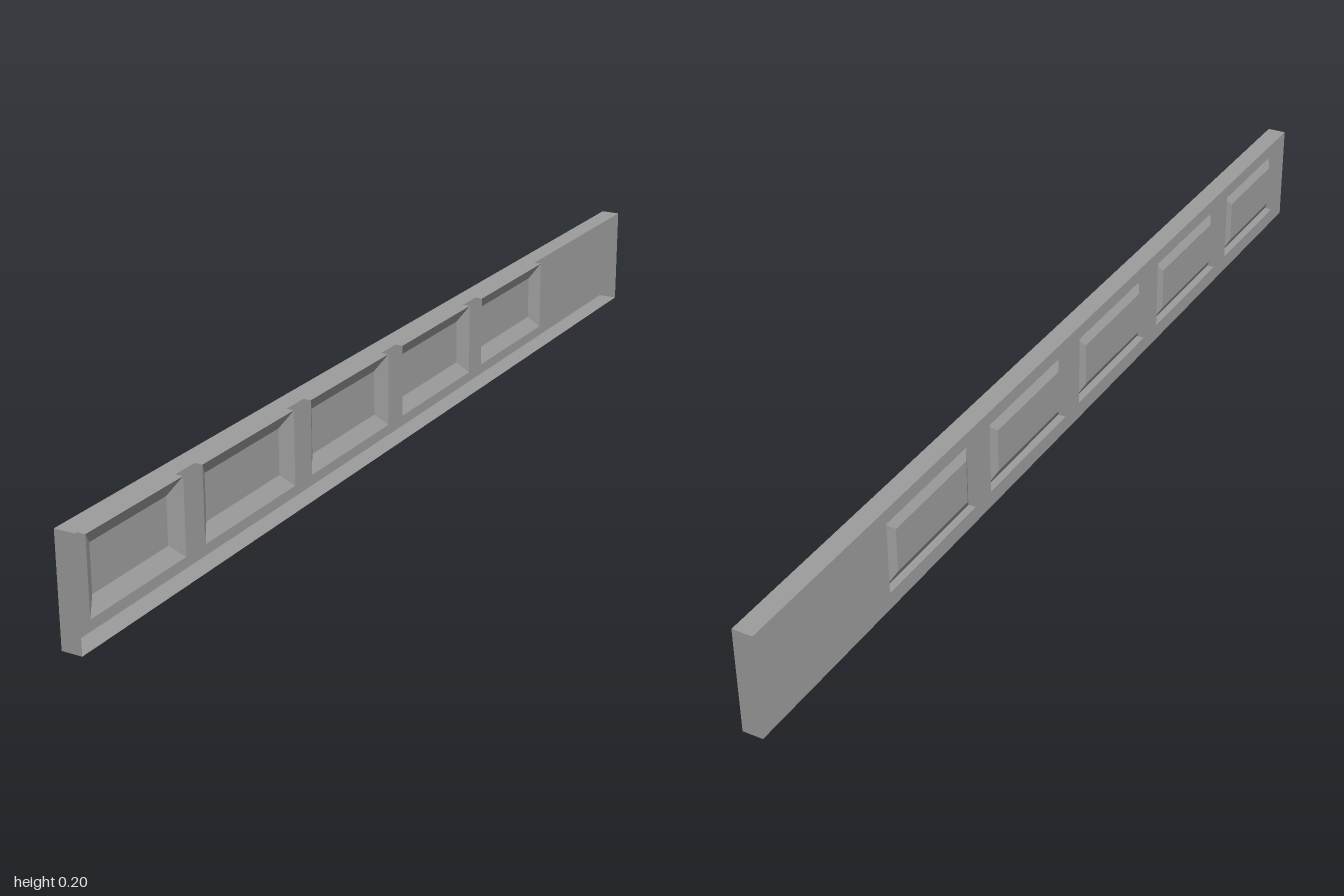
import * as THREE from 'three';

const X = 0.019;         // half thickness
const H = 0.199;         // height
const STEP = 0.015;      // depth of the groove around each panel
const BEVEL = 0.027;     // width of the sloped panel border

const material = new THREE.MeshStandardMaterial({
  color: 0x9d9d9d, flatShading: true, side: THREE.DoubleSide,
});

// Rectangle in the plane at x, anticlockwise when seen from -x
function ring(x, z0, z1, y0, y1) {
  return [[x, y0, z0], [x, y0, z1], [x, y1, z1], [x, y1, z0]];
}

// Joins successive rectangles with flat sides, optionally closing the last one
function loft(rings, capped) {
  const points = [];
  const quad = (a, b, c, d) => points.push(...a, ...b, ...c, ...a, ...c, ...d);
  for (let r = 0; r + 1 < rings.length; r++) {
    for (let i = 0; i < 4; i++) {
      const j = (i + 1) % 4;
      quad(rings[r][i], rings[r][j], rings[r + 1][j], rings[r + 1][i]);
    }
  }
  if (capped) quad(...rings[rings.length - 1]);
  const geometry = new THREE.BufferGeometry();
  geometry.setAttribute('position', new THREE.Float32BufferAttribute(points, 3));
  geometry.computeVertexNormals();
  return geometry;
}

export function createModel() {
  const group = new THREE.Group();
  group.name = 'panelledBoard';
  const add = (name, geometry) => {
    const mesh = new THREE.Mesh(geometry, material);
    mesh.name = name;
    group.add(mesh);
  };

  // Panel openings along z; the front one is a little shorter
  const spans = [[0.694, 0.947], [0.361, 0.64], [0.028, 0.305], [-0.305, -0.027], [-0.638, -0.359]];
  const y0 = 0.032, y1 = 0.172;

  // Edge faces; the +x side is open
  add('rim', loft([ring(X, -1, 1, 0, H), ring(-X, -1, 1, 0, H)], false));

  // Face sheet on the -x side, pierced by the openings
  const rect = (Type, a, b, c, d) => new Type([[a, c], [b, c], [b, d], [a, d]].map(p => new THREE.Vector2(...p)));
  const sheet = rect(THREE.Shape, -1, 1, 0, H);
  spans.forEach(([a, b]) => sheet.holes.push(rect(THREE.Path, a, b, y0, y1)));
  add('faceSheet', new THREE.ShapeGeometry(sheet).rotateY(-Math.PI / 2).translate(-X, 0, 0));

  // Raised panels: groove wall, sloped border, flat field
  spans.forEach(([a, b], i) => {
    add('raisedPanel' + (i + 1), loft([
      ring(-X, a, b, y0, y1),
      ring(-X + STEP, a, b, y0, y1),
      ring(-X, a + BEVEL, b - BEVEL, y0 + BEVEL, y1 - BEVEL),
    ], true));
  });
  return group;
}
